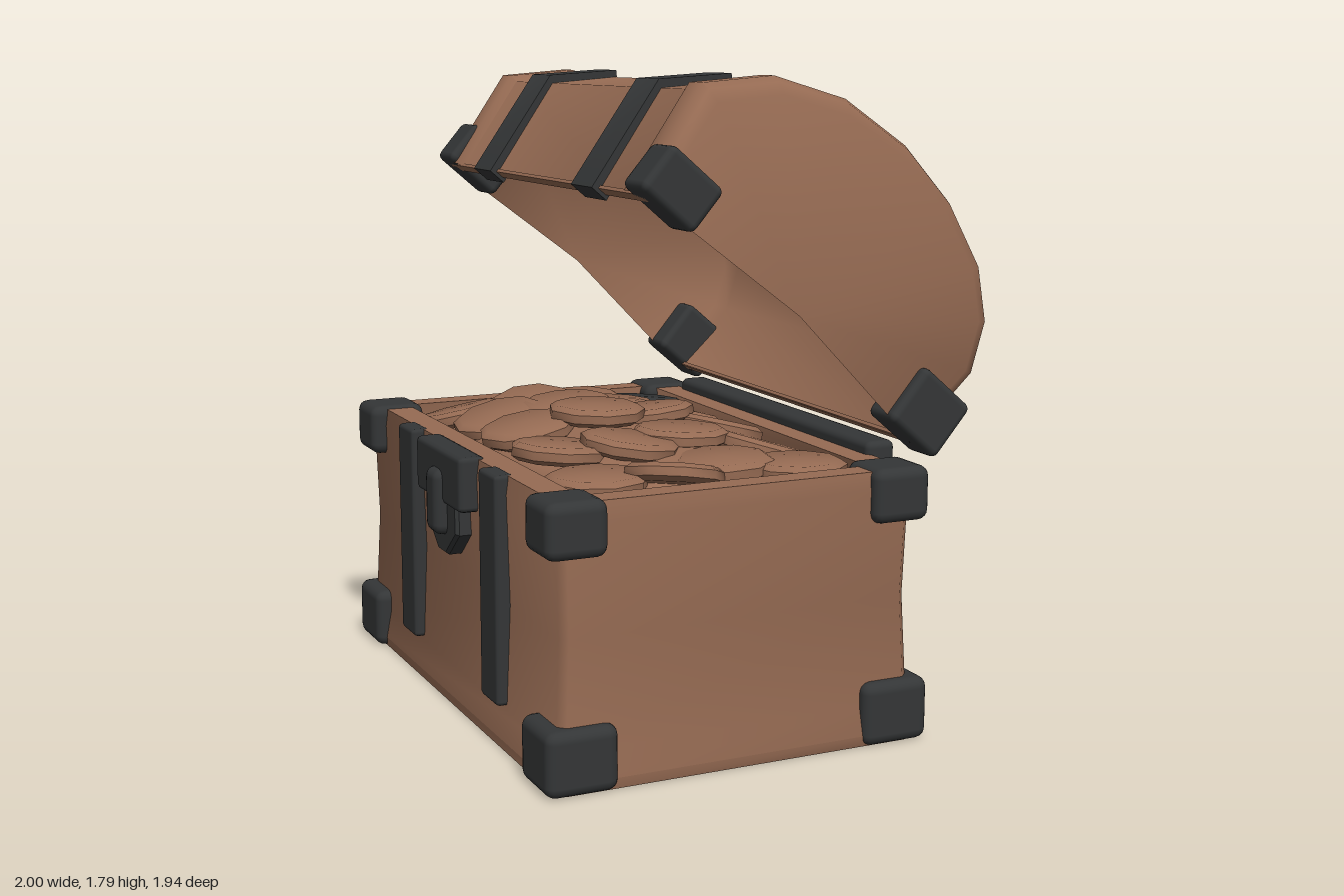
import * as THREE from 'three';
import { toCreasedNormals } from 'three/addons/utils/BufferGeometryUtils.js';
import { RoundedBoxGeometry } from 'three/addons/geometries/RoundedBoxGeometry.js';

const wood = new THREE.MeshStandardMaterial({ color: 0x966b53 });
wood.name = 'brown wood';
const iron = new THREE.MeshStandardMaterial({ color: 0x343637 });
iron.name = 'dark iron';

function add(parent, name, geometry, material, x = 0, y = 0, z = 0) {
  const mesh = new THREE.Mesh(geometry, material);
  mesh.name = name;
  mesh.position.set(x, y, z);
  parent.add(mesh);
  return mesh;
}

// Skin a stack of rings (counter-clockwise seen from the end of the stack);
// closed rings get end faces, open ones stay a folded sheet
function loft(rings, crease, closed) {
  const n = rings[0].length;
  const index = [];
  for (let r = 0; r < rings.length - 1; r++) {
    for (let j = 0; j < (closed ? n : n - 1); j++) {
      const a = r * n + j, b = r * n + (j + 1) % n;
      index.push(a, b, b + n, a, b + n, a + n);
    }
  }
  const last = (rings.length - 1) * n;
  for (let j = 1; closed && j < n - 1; j++) {
    index.push(0, j + 1, j, last, last + j, last + j + 1);
  }
  const g = new THREE.BufferGeometry();
  g.setAttribute('position', new THREE.Float32BufferAttribute(rings.flat(2), 3));
  g.setIndex(index);
  return toCreasedNormals(g, crease);
}

// Rectangle with cut corners, at height y
function rectRing(y, hx, hz, c) {
  return [[hx - c, hz], [hx, hz - c], [hx, c - hz], [hx - c, -hz],
    [c - hx, -hz], [-hx, c - hz], [-hx, hz - c], [c - hx, hz]].map(([x, z]) => [x, y, z]);
}

// Lid side profile as [z, y], from the hinge over the top to the front lip
const lidProfile = [[0.06, -0.025], [0.03, 0.24], [0.09, 0.375], [0.21, 0.475], [0.4, 0.545],
  [0.6, 0.57], [0.82, 0.545], [1.02, 0.455], [1.165, 0.31], [1.13, -0.01]];
const lidRing = (x, s) => lidProfile.map(([z, y]) => [x, 0.025 + (y - 0.025) * s, 0.58 + (z - 0.58) * s]);

function buildBase(chest) {
  const base = new THREE.Group();
  base.name = 'base';
  chest.add(base);

  // Box with flared foot, slightly waisted walls, flat rim and recessed floor
  const levels = [[0, 0.785, 0.525, 0.03], [0.03, 0.79, 0.53, 0.03], [0.11, 0.775, 0.515, 0.02],
    [0.4, 0.764, 0.502, 0.02], [0.7, 0.773, 0.51, 0.02], [0.75, 0.765, 0.503, 0.02],
    [0.75, 0.69, 0.42, 0.01], [0.69, 0.69, 0.42, 0.01]];
  add(base, 'box', loft(levels.map(l => rectRing(...l)), 0.85, true), wood);

  for (const sx of [-1, 1]) {
    for (const sz of [-1, 1]) {
      add(base, 'lowerCornerBracket', new RoundedBoxGeometry(0.2, 0.175, 0.2, 2, 0.03), iron,
        sx * 0.707, 0.0875, sz * 0.458);
      add(base, 'upperCornerBracket', new RoundedBoxGeometry(0.17, 0.15, 0.17, 2, 0.03), iron,
        sx * 0.718, 0.685, sz * 0.468);
    }
    add(base, 'frontStrap', new RoundedBoxGeometry(0.13, 0.63, 0.06, 1, 0.012), iron,
      sx * 0.345, 0.437, 0.513);
  }

  add(base, 'hinge', new RoundedBoxGeometry(1.18, 0.075, 0.09, 2, 0.02), iron, -0.015, 0.748, -0.535);

  // Lock: crosspiece, pointed shield and hanging clasp
  add(base, 'lockPlate', new RoundedBoxGeometry(0.37, 0.155, 0.08, 1, 0.015), iron, 0, 0.68, 0.522);
  const shield = new THREE.Shape();
  shield.moveTo(-0.11, 0.64).lineTo(-0.115, 0.53).lineTo(-0.03, 0.46).lineTo(0.03, 0.46)
    .lineTo(0.115, 0.53).lineTo(0.11, 0.64).closePath();
  add(base, 'lockShield', new THREE.ExtrudeGeometry(shield,
    { depth: 0.05, bevelThickness: 0.01, bevelSize: 0.008, bevelSegments: 1 }), iron, 0, 0, 0.49);
  add(base, 'lockClasp', new RoundedBoxGeometry(0.1, 0.19, 0.07, 2, 0.03), iron, 0, 0.605, 0.55);
}

function buildCoins(chest) {
  const coins = new THREE.Group();
  coins.name = 'coins';
  chest.add(coins);
  let seed = 7;
  const rand = () => (seed = (seed * 16807) % 2147483647) / 2147483647;

  // Disc with a bevelled edge
  const outline = [[0, -0.025], [0.12, -0.025], [0.14, -0.012], [0.14, 0.012], [0.12, 0.025], [0, 0.025]];
  const coinGeo = toCreasedNormals(
    new THREE.LatheGeometry(outline.map(p => new THREE.Vector2(...p)), 9), 0.75);

  // Rows of overlapping coins heaped towards the middle, sloping outwards
  for (let row = 0; row < 4; row++) {
    for (let i = 0; i < 5; i++) {
      const x = -0.53 + i * 0.25 + (row % 2 ? 0.06 : 0) + (rand() - 0.5) * 0.05;
      const z = 0.275 - row * 0.19 + (rand() - 0.5) * 0.04;
      const heap = Math.max(0, 1 - Math.hypot(x + 0.02, (z - 0.06) * 1.4) / 0.6);
      const dark = row === 3 && i === 0;
      const coin = add(coins, dark ? 'darkCoin' : 'coin', coinGeo, dark ? iron : wood,
        x, 0.73 + heap * 0.1, z);
      coin.rotation.set(z * 0.4 + (rand() - 0.5) * 0.3, rand() * 3, -x * 0.25 + (rand() - 0.5) * 0.3);
    }
  }
  // Heap under the coins
  add(coins, 'heap', new THREE.SphereGeometry(1, 16, 8, 0, Math.PI * 2, 0, Math.PI / 2), wood,
    -0.03, 0.69, 0.02).scale.set(0.64, 0.1, 0.39);
}

function buildLid(chest) {
  const lid = new THREE.Group();
  lid.name = 'lid';
  lid.position.set(0, 0.78, -0.6);
  lid.rotation.x = -0.705;
  chest.add(lid);

  // Barrel with raised bands and end walls outside, then the hollow inside, as [x, profile scale]
  const rightHalf = [[0.6, 0.97], [0.625, 1], [0.695, 1], [0.725, 0.975], [0.745, 0.92], [0.745, 0]];
  const leftHalf = rightHalf.map(([x, s]) => [-x, s]).reverse();
  const hollow = [[0.725, 0], [0.725, 0.9], [0.69, 0.95], [-0.69, 0.95], [-0.725, 0.9], [-0.725, 0]];
  const sections = [...leftHalf, ...rightHalf, ...hollow];
  add(lid, 'lidShell', loft(sections.map(s => lidRing(...s)), 0.95, false), wood);

  // Thin lip closing the gap between the outside and the hollow
  for (const [y, z] of [[-0.015, 0.075], [-0.005, 1.105]]) {
    add(lid, 'lip', new THREE.BoxGeometry(1.42, 0.01, 0.028), wood, 0, y, z);
  }

  // Strap bent over the front edge
  const outline = [[1.12, 0.3], [0.98, 0.43], [1.015, 0.463], [1.168, 0.315], [1.135, -0.02], [1.08, -0.02]];
  const strapShape = new THREE.Shape(outline.map(p => new THREE.Vector2(...p)));
  const strapGeo = toCreasedNormals(
    new THREE.ExtrudeGeometry(strapShape, { depth: 0.14, bevelEnabled: false })
      .translate(0, 0, -0.07).rotateY(-Math.PI / 2), 1);

  for (const side of [-1, 1]) {
    add(lid, 'lidStrap', strapGeo, iron, side * 0.375);
    add(lid, 'frontLidBracket', new RoundedBoxGeometry(0.13, 0.14, 0.19, 2, 0.02), iron,
      side * 0.705, 0.06, 1.06);
    add(lid, 'rearLidBracket', new RoundedBoxGeometry(0.13, 0.175, 0.19, 2, 0.02), iron,
      side * 0.71, 0.065, 0.1);
  }
}

export function createModel() {
  const model = new THREE.Group();
  model.name = 'treasureChest';
  const chest = new THREE.Group();
  chest.name = 'chest';
  chest.position.set(-0.035, 0, 0.055);
  chest.rotation.y = -0.597;
  model.add(chest);
  buildBase(chest);
  buildCoins(chest);
  buildLid(chest);
  return model;
}
